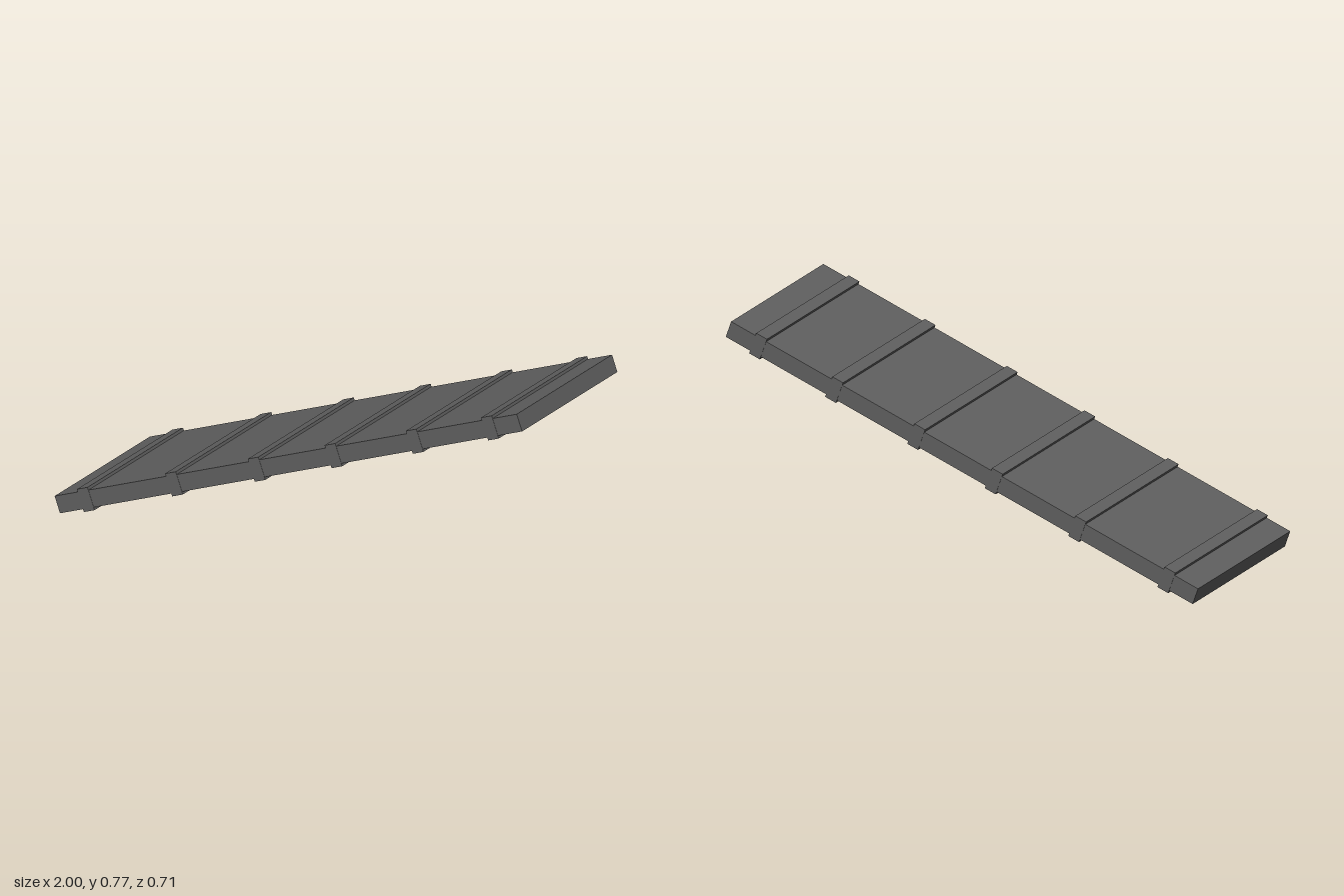
import * as THREE from 'three';

export function createModel() {
  const slope = Math.atan2(0.705, 1.977);
  const material = new THREE.MeshStandardMaterial({ color: 0x5f5f5f });

  const model = new THREE.Group();
  model.name = 'gangplank';

  // Everything is built flat along x, then tilted up towards +x.
  const ramp = new THREE.Group();
  ramp.name = 'ramp';
  ramp.position.y = 0.385;
  ramp.rotation.z = slope;
  model.add(ramp);

  const addBox = (name, length, height, width, x) => {
    const mesh = new THREE.Mesh(new THREE.BoxGeometry(length, height, width), material);
    mesh.name = name;
    mesh.position.x = x;
    ramp.add(mesh);
  };

  addBox('plank', 2.099, 0.068, 0.708, 0);

  // Cross cleats run through the plank and stand proud above and below.
  for (const x of [-0.92, -0.519, -0.144, 0.205, 0.574, 0.916]) {
    addBox('cleat', 0.048, 0.09, 0.71, x);
  }
  return model;
}
